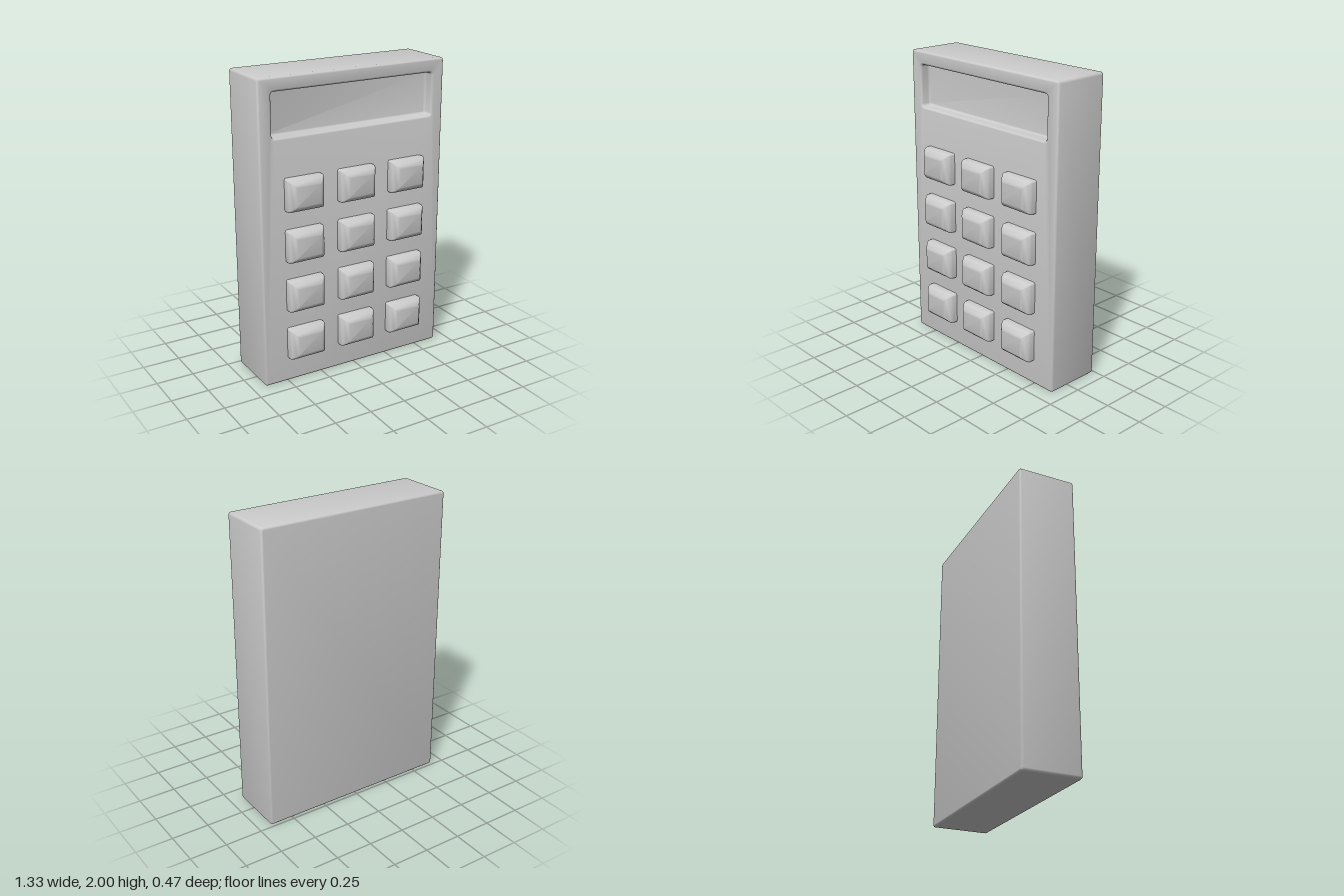
import * as THREE from 'three';
import { toCreasedNormals } from 'three/addons/utils/BufferGeometryUtils.js';

const material = new THREE.MeshStandardMaterial({ color: 0xcccccc });
const CORNER_STEPS = 3;

// Points of a rounded rectangle, counter-clockwise seen from +z
function ring({ w, h, r, y = 0, z }) {
  const points = [];
  [[1, 1], [-1, 1], [-1, -1], [1, -1]].forEach(([sx, sy], corner) => {
    for (let i = 0; i <= CORNER_STEPS; i++) {
      const a = (corner + i / CORNER_STEPS) * Math.PI / 2;
      points.push([sx * (w - r) + r * Math.cos(a), y + sy * (h - r) + r * Math.sin(a), z]);
    }
  });
  return points;
}

// Skin over a run of rings, closed with a flat cap at both ends
function loft(specs) {
  const rings = specs.map(ring);
  const n = rings[0].length;
  const index = [];
  for (let k = 0; k < rings.length - 1; k++) {
    for (let j = 0; j < n; j++) {
      const a = k * n + j, b = k * n + (j + 1) % n;
      index.push(a, b, b + n, a, b + n, a + n);
    }
  }
  const last = (rings.length - 1) * n;
  for (let j = 1; j < n - 1; j++) {
    index.push(0, j + 1, j, last, last + j, last + j + 1);
  }
  const geometry = new THREE.BufferGeometry();
  geometry.setAttribute('position', new THREE.Float32BufferAttribute(rings.flat(2), 3));
  geometry.setIndex(index);
  return toCreasedNormals(geometry, 0.6);
}

// Quarter-round edge: calls make(cos, sin) from 0 to 90 degrees
function arc(make, steps = 3) {
  return Array.from({ length: steps + 1 }, (_, i) => {
    const a = i / steps * Math.PI / 2;
    return make(Math.cos(a), Math.sin(a));
  });
}

function createBody() {
  const back = -0.235, front = 0.15, e = 0.015, depth = 0.07;
  const outer = (inset, z) => ({ w: 0.665 - inset, h: 1 - inset, r: 0.018 - inset, y: 1, z });
  const recess = (inset, z) => ({ w: 0.59 - inset, h: 0.155 - inset, r: 0.032 - inset, y: 1.77, z });
  return loft([
    // rounded outer shell, back to front
    ...arc((c, s) => outer(e * (1 - s), back + e * (1 - c))),
    ...arc((c, s) => outer(e * (1 - c), front - e * (1 - s))),
    // rounded rim of the display recess, its wall and filleted floor
    ...arc((c, s) => recess(e * s, front - e * (1 - c))),
    ...arc((c, s) => recess(e + e * (1 - c), front - depth + e * (1 - s)))
  ]);
}

function createKeyGeometry() {
  // [inset, z] profile: straight side, sloped shoulder, softened flat top
  const profile = [
    [0, 0.14], [0, 0.185], [0.003, 0.194], [0.009, 0.203],
    [0.028, 0.224], [0.035, 0.23], [0.045, 0.233]
  ];
  return loft(profile.map(([inset, z]) => ({
    w: 0.127 - inset, h: 0.107 - inset, r: 0.012 - inset * 0.2, z
  })));
}

export function createModel() {
  const model = new THREE.Group();
  model.name = 'calculator';

  const body = new THREE.Mesh(createBody(), material);
  body.name = 'body';
  model.add(body);

  // Three columns by four rows of keys
  const keypad = new THREE.Group();
  keypad.name = 'keypad';
  const keyGeometry = createKeyGeometry();
  for (let row = 0; row < 4; row++) {
    for (let column = 0; column < 3; column++) {
      const key = new THREE.Mesh(keyGeometry, material);
      key.name = `keyRow${row + 1}Column${column + 1}`;
      key.position.set((column - 1) * 0.375, 1.27 - row * 0.333, 0);
      keypad.add(key);
    }
  }
  model.add(keypad);
  return model;
}
